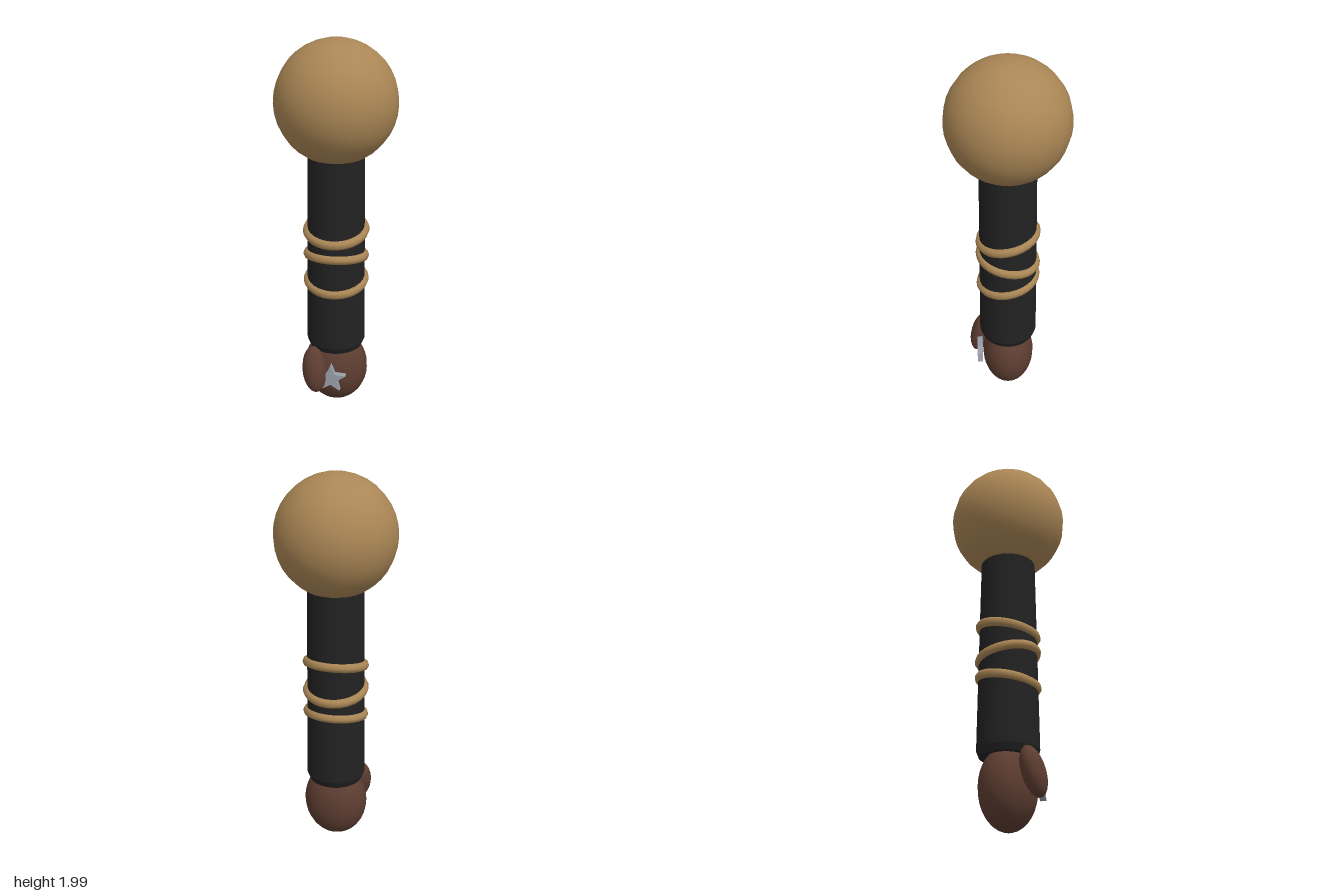
import * as THREE from 'three';

export function createModel() {
  const model = new THREE.Group();
  const material = (name, color) => {
    const m = new THREE.MeshStandardMaterial({ color });
    m.name = name;
    return m;
  };
  const tan = material('tan', 0xaa8655);
  const black = material('black', 0x222222);
  const brown = material('brown', 0x5d3d31);
  const silver = material('silver', 0x9aa0aa);

  const add = (name, geometry, mat, x, y, z) => {
    const mesh = new THREE.Mesh(geometry, mat);
    mesh.name = name;
    mesh.position.set(x, y, z);
    model.add(mesh);
    return mesh;
  };

  // Shoulder ball
  add('shoulderBall', new THREE.SphereGeometry(0.305, 22, 18), tan, 0, 1.695, 0);

  // Tapered sleeve, with a short chamfer and a flat closed cuff
  add('sleeve', new THREE.CylinderGeometry(0.142, 0.156, 1.1, 28, 1, true), black, 0, 0.95, 0);
  add('cuffEdge', new THREE.CylinderGeometry(0.156, 0.142, 0.035, 28), black, 0, 0.3825, 0);

  // Tilted bands wound round the sleeve: height, tilt
  [[1.03, 0.22], [0.89, -0.19], [0.75, 0.2]].forEach(([y, tilt], i) => {
    const ring = new THREE.TorusGeometry(0.147, 0.025, 8, 28).rotateX(Math.PI / 2);
    add(`band${i + 1}`, ring, tan, 0, y, 0).rotation.x = tilt;
  });

  // Mitten hand and thumb
  const hand = new THREE.SphereGeometry(1, 24, 18).scale(0.172, 0.207, 0.142);
  add('hand', hand, brown, 0, 0.216, 0);
  const thumb = new THREE.SphereGeometry(1, 20, 14).scale(0.066, 0.127, 0.058);
  add('thumb', thumb, brown, -0.09, 0.265, 0.152).rotation.set(-0.25, 0, 0.12);

  // Five-pointed star on the front of the hand
  const points = [];
  for (let i = 0; i < 10; i++) {
    const a = Math.PI / 2 + (i * Math.PI) / 5;
    const r = i % 2 ? 0.036 : 0.085;
    points.push(new THREE.Vector2(r * Math.cos(a), r * Math.sin(a)));
  }
  const star = new THREE.ExtrudeGeometry(new THREE.Shape(points), { depth: 0.03, bevelEnabled: false });
  add('star', star, silver, 0, 0.225, 0.144);

  return model;
}
